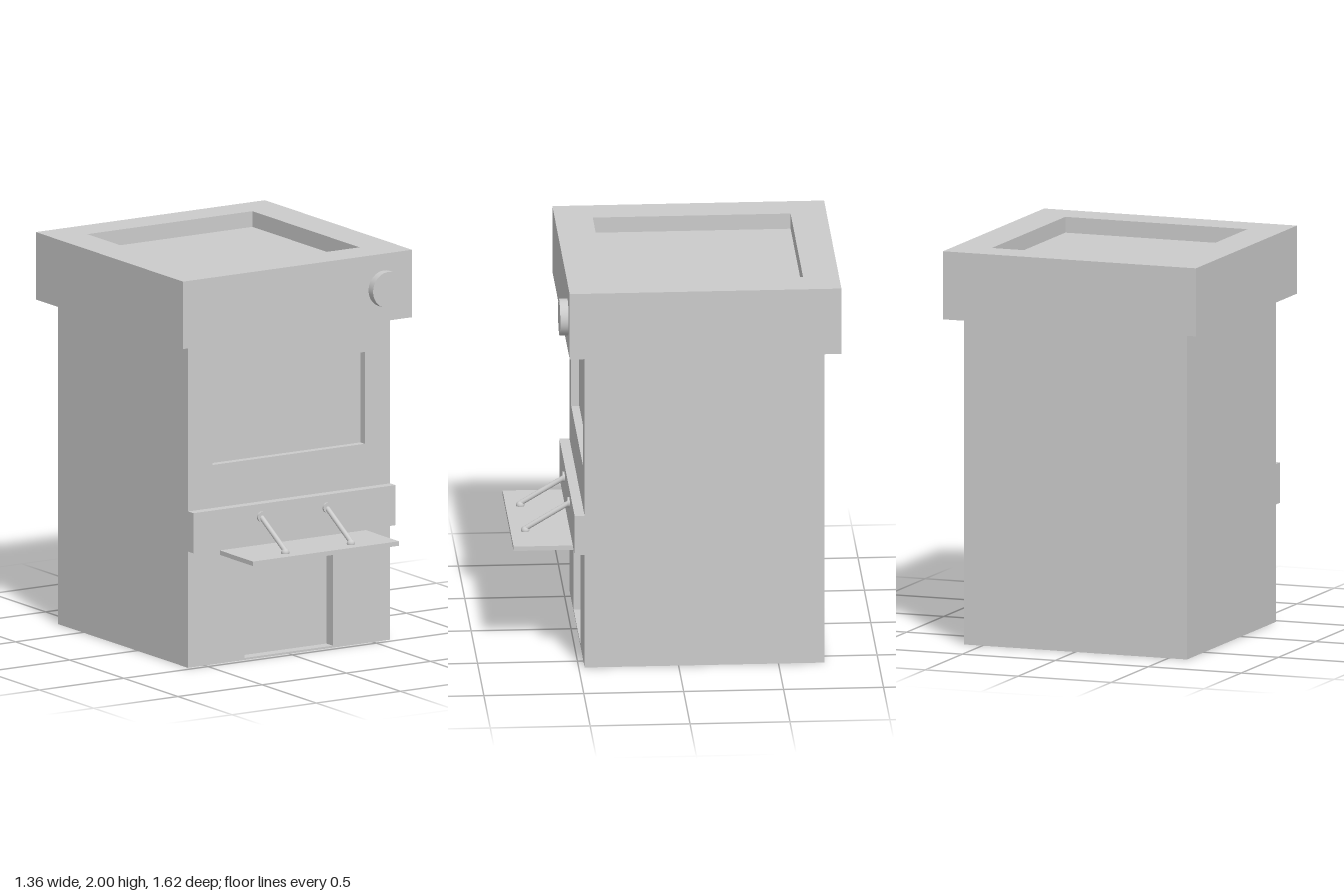
import * as THREE from 'three';

export function createModel() {
  const model = new THREE.Group();
  const material = new THREE.MeshStandardMaterial({ color: 0xcccccc });

  const add = (name, geometry, parent = model) => {
    const mesh = new THREE.Mesh(geometry, material);
    mesh.name = name;
    parent.add(mesh);
    return mesh;
  };
  // Box given by its lower and upper limits on each axis
  const box = (name, [x0, x1], [y0, y1], [z0, z1]) => {
    const mesh = add(name, new THREE.BoxGeometry(x1 - x0, y1 - y0, z1 - z0));
    mesh.position.set((x0 + x1) / 2, (y0 + y1) / 2, (z0 + z1) / 2);
    return mesh;
  };
  const corners = (x0, x1, y0, y1) =>
    [[x0, y0], [x1, y0], [x1, y1], [x0, y1]].map(([x, y]) => new THREE.Vector2(x, y));
  // Rectangular plate with rectangular openings, extruded along z
  const plate = (outer, holes, depth) => {
    const shape = new THREE.Shape(corners(...outer));
    holes.forEach((h) => shape.holes.push(new THREE.Path(corners(...h).reverse())));
    return new THREE.ExtrudeGeometry(shape, { depth, bevelEnabled: false });
  };

  // Main cabinet with a front plate holding the window and lower door openings
  const windowHole = [-0.455, 0.45, 1.02, 1.49];
  const doorHole = [-0.263, 0.26, 0.01, 0.572];
  box('cabinetBody', [-0.6, 0.6], [0, 1.655], [-0.73, 0.41]);
  add('cabinetFront', plate([-0.6, 0.6, 0, 1.655], [windowHole, doorHole], 0.06)).position.z = 0.41;
  box('windowPanel', [-0.455, 0.45], [1.02, 1.49], [0.405, 0.43]);

  // Overhanging cap with a sunken top
  box('capBase', [-0.68, 0.68], [1.655, 1.92], [-0.81, 0.55]);
  const rim = add('capRim', plate([-0.68, 0.68, -0.55, 0.81], [[-0.49, 0.49, -0.36, 0.63]], 0.08));
  rim.rotation.x = -Math.PI / 2;
  rim.position.y = 1.92;

  // Round knob on the cap front
  const knob = add('knob', new THREE.CylinderGeometry(0.092, 0.092, 0.042, 32));
  knob.rotation.x = Math.PI / 2;
  knob.position.set(0.513, 1.823, 0.571);

  // Raised band and shelf
  box('frontBand', [-0.6, 0.6], [0.595, 0.8], [0.46, 0.52]);
  box('shelf', [-0.435, 0.432], [0.565, 0.588], [0.508, 0.815]);

  // Slanted stays holding the shelf
  for (const [name, x] of [['rightStay', -0.197], ['leftStay', 0.193]]) {
    const stay = new THREE.Group();
    stay.name = name;
    stay.position.x = x;
    model.add(stay);
    const top = new THREE.Vector3(0, 0.735, 0.518);
    const foot = new THREE.Vector3(0, 0.6, 0.745);
    add('stayRod', new THREE.TubeGeometry(new THREE.LineCurve3(top, foot), 1, 0.013, 16), stay);
    const flange = add('stayFlange', new THREE.CylinderGeometry(0.026, 0.026, 0.012, 24), stay);
    flange.rotation.x = Math.PI / 2;
    flange.position.set(0, 0.735, 0.525);
    const ball = add('stayFoot', new THREE.SphereGeometry(0.021, 20, 12), stay);
    ball.position.set(0, 0.592, 0.742);
  }
  return model;
}
